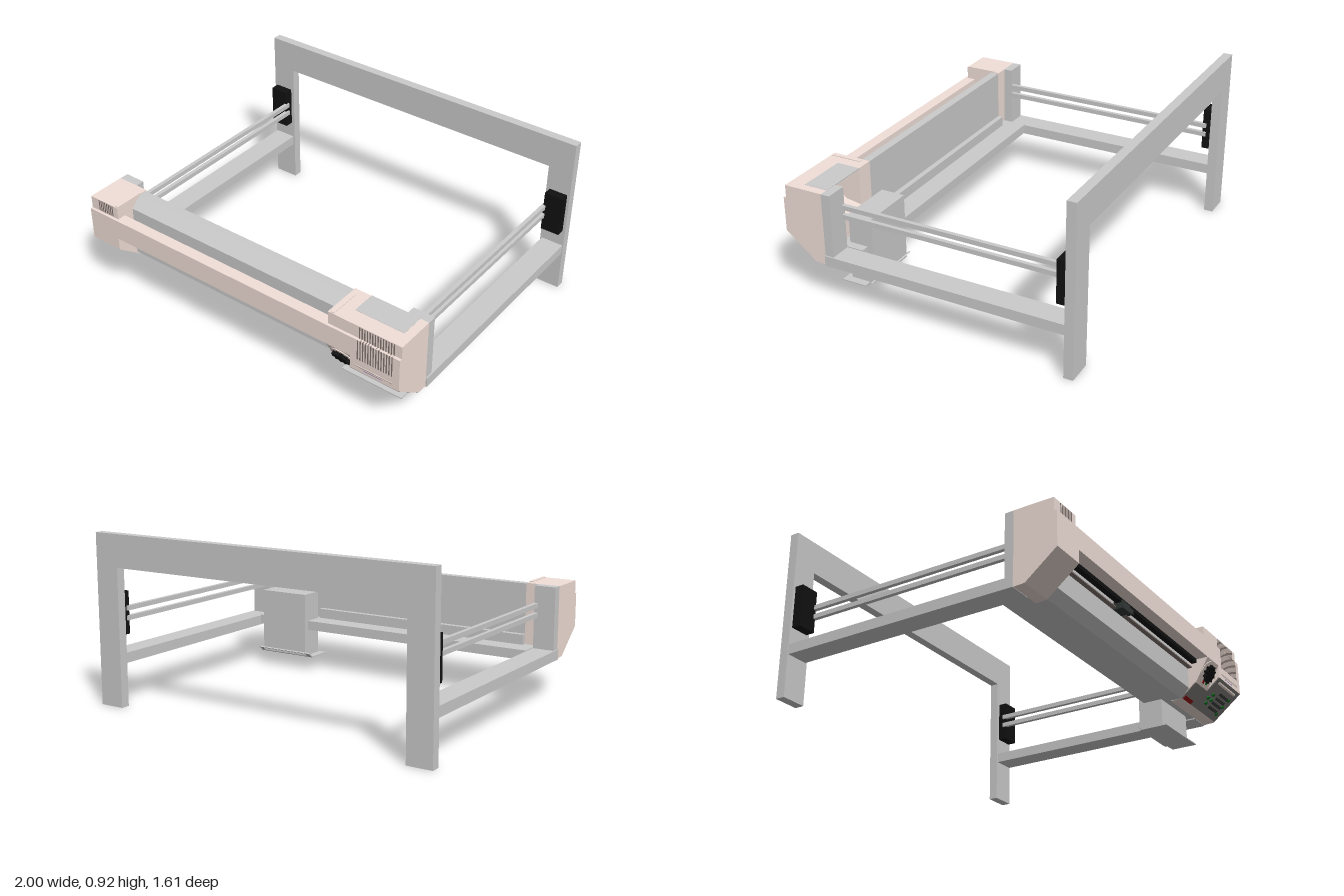
import * as THREE from 'three';

const mat = (color) => new THREE.MeshStandardMaterial({ color });
const grey = mat(0xcccccc);
const shell = mat(0xf2e0d8);
const slotMat = mat(0x81756f);
const black = mat(0x111111);
const keyMat = mat(0x333836);
const panelMat = mat(0x8c8784);
const green = mat(0x117722);
const red = mat(0x991111);
const blue = mat(0x1111bb);

export function createModel() {
  const model = new THREE.Group();

  const add = (name, geometry, material, parent = model) => {
    const mesh = new THREE.Mesh(geometry, material);
    mesh.name = name;
    parent.add(mesh);
    return mesh;
  };
  // box given by its limits on each axis
  const box = (name, [x0, x1], [y0, y1], [z0, z1], material = grey, parent = model) => {
    const g = new THREE.BoxGeometry(x1 - x0, y1 - y0, z1 - z0);
    g.translate((x0 + x1) / 2, (y0 + y1) / 2, (z0 + z1) / 2);
    return add(name, g, material, parent);
  };
  // (z, y) profile swept along x
  const sweep = (name, profile, x0, x1, material = grey) => {
    const shape = new THREE.Shape(profile.map(([z, y]) => new THREE.Vector2(-z, y)));
    const g = new THREE.ExtrudeGeometry(shape, { depth: x1 - x0, bevelEnabled: false });
    g.rotateY(Math.PI / 2);
    g.translate(x0, 0, 0);
    return add(name, g, material);
  };

  // rear portal frame
  const portal = new THREE.Shape([
    [-1, 0], [-0.86, 0], [-0.86, 0.745], [0.86, 0.745], [0.86, 0],
    [1, 0], [1, 0.92], [-1, 0.92],
  ].map(([x, y]) => new THREE.Vector2(x, y)));
  const portalGeo = new THREE.ExtrudeGeometry(portal, { depth: 0.05, bevelEnabled: false });
  portalGeo.translate(0, 0, -0.8);
  add('rearFrame', portalGeo, grey);

  // side arms, rods, rod mounts and columns, mirrored
  for (const s of [-1, 1]) {
    const span = (a, b) => (s > 0 ? [a, b] : [-b, -a]);
    box('sideArm', span(0.87, 0.995), [0.23, 0.285], [-0.75, 0.57]);
    box('rodMount', span(0.88, 0.985), [0.38, 0.61], [-0.75, -0.7], black);
    box('column', span(0.87, 0.988), [0.285, 0.625], [0.522, 0.571]);
    for (const y of [0.455, 0.507]) {
      box('guideRod', span(0.87, 0.892), [y, y + 0.025], [-0.72, 0.54]);
    }
  }

  // central trough body and rear shelf
  sweep('mainBeam', [
    [0.575, 0.62], [0.62, 0.62], [0.68, 0.565], [0.68, 0.285],
    [0.63, 0.235], [0.575, 0.235],
  ], -0.81, 0.58);
  box('rearShelf', [-0.87, 0.87], [0.237, 0.29], [0.43, 0.58]);
  box('shelfLedge', [-0.8, 0.52], [0.29, 0.345], [0.545, 0.58]);

  // front cover bar, rail and carriage
  box('frontCover', [-0.81, 0.58], [0.44, 0.555], [0.737, 0.8], shell);
  box('rail', [-0.81, 0.58], [0.42, 0.443], [0.705, 0.735], black);
  box('needleBar', [-0.81, 0.58], [0.398, 0.404], [0.68, 0.705], slotMat);
  box('carriage', [-0.28, -0.2], [0.388, 0.43], [0.69, 0.742], keyMat);
  box('carriageNose', [-0.2, -0.16], [0.4, 0.425], [0.7, 0.737], keyMat);

  // end housings: outline of the front, optionally with a dial facet and rear recess
  const housing = (x0, x1, facet, recess) => sweep('endHousing', [
    [0.785, 0.625], [0.785, 0.555], [0.8, 0.555],
    ...(facet ? [[0.8, 0.44], [0.724, 0.31]] : [[0.8, 0.37]]),
    [0.63, 0.235], [0.57, 0.232],
    ...(recess ? [[0.57, 0.42], [0.66, 0.435], [0.7, 0.47], [0.7, 0.612], [0.57, 0.612]] : []),
    [0.57, 0.625],
  ], x0, x1, shell);
  housing(-0.99, -0.8, false, false);
  housing(0.57, 0.665, true, false);
  housing(0.665, 0.71, true, true);
  housing(0.71, 0.94, false, true);
  housing(0.94, 0.988, false, false);
  box('topPanel', [0.665, 0.94], [0.62, 0.6265], [0.568, 0.7]);
  for (const x of [-0.818, 0.585]) {
    box('topRib', [x, x + 0.018], [0.62, 0.629], [0.61, 0.78], shell);
  }

  // ventilation slots
  for (let i = 0; i < 14; i++) {
    const x = 0.75 + i * 0.0148;
    box('frontVent', [x, x + 0.006], [0.555, 0.622], [0.78, 0.7865], slotMat);
    box('lowerFrontVent', [x, x + 0.006], [0.44, 0.555], [0.79, 0.8015], slotMat);
    box('rearVent', [x - 0.06, x - 0.052], [0.49, 0.6], [0.695, 0.7], slotMat);
  }
  for (let i = 0; i < 8; i++) {
    const x = -0.935 + i * 0.0135;
    box('leftVent', [x, x + 0.006], [0.56, 0.622], [0.78, 0.7865], slotMat);
  }

  // sloping control panel; local y runs up the slope
  const panel = new THREE.Group();
  panel.name = 'controlPanel';
  panel.position.set(0, 0.37, 0.8);
  panel.rotation.x = 0.9;
  model.add(panel);
  box('panelPlate', [0.71, 0.985], [-0.212, 0], [-0.004, 0.002], panelMat, panel);
  box('panelPlateInner', [0.57, 0.71], [-0.212, -0.1], [-0.004, 0.002], panelMat, panel);
  box('stopBar', [0.58, 0.67], [-0.212, -0.188], [0, 0.006], red, panel);
  for (let row = 0; row < 4; row++) {
    for (let col = 0; col < 5; col++) {
      const x = 0.825 + col * 0.022, y = -0.17 + row * 0.03;
      box('key', [x, x + 0.014], [y, y + 0.017], [0, 0.007], keyMat, panel);
    }
  }
  const button = (x, y, material) => {
    const g = new THREE.CylinderGeometry(0.01, 0.01, 0.012, 12);
    g.rotateX(Math.PI / 2);
    g.translate(x, y, 0.004);
    add('button', g, material, panel);
  };
  for (const y of [-0.17, -0.12, -0.07]) button(0.935, y, green);
  for (let i = 0; i < 4; i++) {
    const a = i * Math.PI / 2;
    button(0.778 + 0.02 * Math.cos(a), -0.125 + 0.03 * Math.sin(a), green);
  }

  // display hood and screen
  sweep('displayHood', [[0.798, 0.402], [0.803, 0.402], [0.785, 0.35], [0.77, 0.346]], 0.74, 0.95, shell);
  const screen = box('screen', [-0.053, 0.053], [-0.011, 0.011], [-0.002, 0.002], blue);
  screen.position.set(0.842, 0.376, 0.795);
  screen.rotation.x = 0.333;

  // dial with toothed knob on the tilted facet
  const dial = new THREE.Group();
  dial.name = 'dial';
  dial.position.set(0.64, 0.375, 0.762);
  dial.rotation.x = 0.53;
  model.add(dial);
  const disc = new THREE.CylinderGeometry(0.068, 0.068, 0.008, 32);
  disc.rotateX(Math.PI / 2);
  add('dialDisc', disc, shell, dial);
  const teeth = new THREE.Shape();
  for (let i = 0; i < 20; i++) {
    const a = i * Math.PI / 10, r = i % 2 ? 0.036 : 0.052;
    teeth[i ? 'lineTo' : 'moveTo'](r * Math.cos(a), r * Math.sin(a));
  }
  add('dialKnob', new THREE.ExtrudeGeometry(teeth, { depth: 0.022, bevelEnabled: false }), black, dial);
  [[-0.012, -0.052, red], [0.022, -0.05, green], [0.05, -0.015, blue]].forEach(([x, y, m]) =>
    box('dialMarker', [x - 0.008, x + 0.008], [y - 0.008, y + 0.008], [0, 0.008], m, dial));

  // rear chute with flared tray
  box('chute', [0.525, 0.825], [0.085, 0.45], [0.4, 0.535]);
  sweep('chuteTray', [
    [0.395, 0.1], [0.43, 0.073], [0.572, 0.073], [0.572, 0.079], [0.432, 0.079], [0.4, 0.105],
  ], 0.495, 0.858);

  return model;
}
